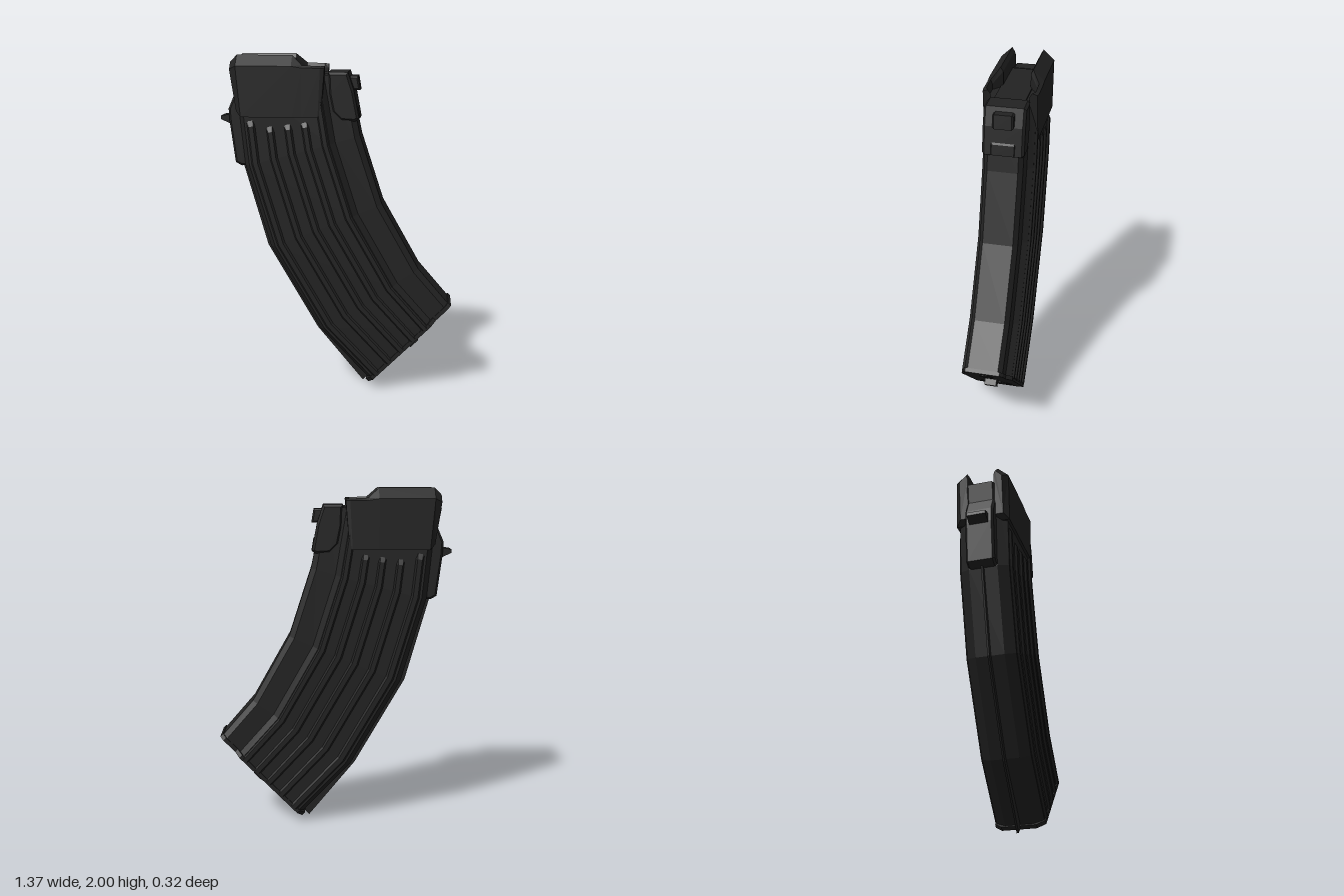
import * as THREE from 'three';

const V = (x, y, z) => new THREE.Vector3(x, y, z);

// Closed flat-shaded solid through rings of equal length, turned outward by its signed volume
function loft(rings) {
  const tris = [];
  const n = rings[0].length;
  for (let i = 0; i < rings.length - 1; i++) {
    for (let j = 0; j < n; j++) {
      const k = (j + 1) % n;
      const a = rings[i][j], b = rings[i][k], c = rings[i + 1][k], d = rings[i + 1][j];
      tris.push([a, b, c], [a, c, d]);
    }
  }
  const first = rings[0], last = rings[rings.length - 1];
  for (let j = 1; j < n - 1; j++) {
    tris.push([first[0], first[j + 1], first[j]], [last[0], last[j], last[j + 1]]);
  }
  let volume = 0;
  for (const [a, b, c] of tris) volume += a.dot(b.clone().cross(c));
  const pts = tris.flatMap(([a, b, c]) => (volume < 0 ? [a, c, b] : [a, b, c]));
  const geo = new THREE.BufferGeometry().setFromPoints(pts);
  geo.computeVertexNormals();
  return geo;
}

// Side profile in x,y extruded evenly about z = 0
function slab(points, halfWidth, bevel = 0) {
  const shape = new THREE.Shape(points.map(([x, y]) => new THREE.Vector2(x, y)));
  const depth = 2 * (halfWidth - bevel);
  const geo = new THREE.ExtrudeGeometry(shape, {
    depth, bevelEnabled: bevel > 0, bevelThickness: bevel, bevelSize: bevel, bevelOffset: -bevel, bevelSegments: 1,
  });
  return geo.translate(0, 0, -depth / 2);
}

// Back and front edge of the curved shell at each bend
const BENDS = [
  [-0.595, 1.88, 0.06, 1.89],
  [-0.545, 1.36, 0.13, 1.54],
  [-0.40, 0.87, 0.26, 1.14],
  [-0.105, 0.36, 0.48, 0.75],
  [0.19, 0.05, 0.665, 0.535],
];

// Point on the shell: u = bend index, t = back to front, z = sideways
function shellPoint(u, t, z) {
  const i = Math.min(Math.floor(u), BENDS.length - 2);
  const [bx, by, fx, fy] = BENDS[i].map((v, k) => THREE.MathUtils.lerp(v, BENDS[i + 1][k], u - i));
  return V(bx + (fx - bx) * t, by + (fy - by) * t, z);
}

export function createModel() {
  const group = new THREE.Group();
  group.name = 'curvedBox';
  const steel = new THREE.MeshStandardMaterial({ color: 0x222222, flatShading: true });
  steel.name = 'blackSteel';
  const add = (name, geo) => {
    const mesh = new THREE.Mesh(geo, steel);
    mesh.name = name;
    group.add(mesh);
    return mesh;
  };

  // Curved shell: wide behind, stepped narrower at the front
  const half = [[0, 0.085], [0.05, 0.145], [0.745, 0.145], [0.79, 0.112], [0.955, 0.112], [1, 0.088]];
  const section = [...half, ...half.map(([t, z]) => [t, -z]).reverse()];
  add('shell', loft(BENDS.map((_, u) => section.map(([t, z]) => shellPoint(u, t, z)))));

  // Pressed ribs on both sides: centre, half width, start
  const ribs = [[0.105, 0.04, 0.5], [0.265, 0.038, 0.6], [0.42, 0.038, 0.61], [0.565, 0.038, 0.62], [0.71, 0.035, 0.02]];
  for (const side of [1, -1]) {
    for (const [t, w, start] of ribs) {
      const rings = [start, start + 0.07, 1, 2, 3, 4].map((u, i) => {
        const out = i === 0 ? 0.144 : 0.158;
        return [[-w, 0.14], [-w * 0.5, out], [w * 0.5, out], [w, 0.14]]
          .map(([dt, z]) => shellPoint(u, t + dt, side * z));
      });
      add('sideRib', loft(rings));
    }
  }

  // Thin seam down the back
  add('backSeam', slab([[-0.575, 1.37], [-0.43, 0.86], [-0.13, 0.34], [0.15, 0], [0.21, 0.06],
    [-0.08, 0.37], [-0.37, 0.88], [-0.52, 1.37]], 0.006));

  // Feed lips: [x top, x bottom, outer z, inner z, peak z, shoulder y, top y]
  const lips = [
    [-0.62, -0.585, 0.13, 0.08, 0.09, 1.92, 1.96],
    [-0.58, -0.555, 0.16, 0.08, 0.095, 1.94, 2.0],
    [-0.26, -0.26, 0.16, 0.08, 0.095, 1.94, 2.0],
    [-0.20, -0.20, 0.16, 0.13, 0.14, 1.93, 1.945],
    [-0.095, -0.11, 0.16, 0.13, 0.14, 1.93, 1.94],
    [-0.07, -0.09, 0.155, 0.11, 0.125, 1.93, 1.94],
  ];
  for (const side of [1, -1]) {
    const rings = lips.map(([xt, xb, outer, inner, peak, ys, yt], i) => {
      const low = i === 0 || i === lips.length - 1 ? 1.68 : 1.65;
      return [V(xb, low, side * outer), V(xt, ys, side * outer), V(xt, yt, side * peak),
        V(xt, yt - 0.025, side * inner), V(xb, low, side * inner)];
    });
    add('feedLip', loft(rings));
  }

  // Follower floor between the lips
  add('follower', slab([[-0.53, 1.86], [-0.52, 1.895], [0.04, 1.895], [0.05, 1.86]], 0.09));

  // Front reinforcement with locking tab and ramp
  add('frontPlate', slab([[-0.055, 1.905], [0.06, 1.905], [0.095, 1.8], [0.125, 1.64], [0.10, 1.625],
    [0.02, 1.63], [-0.03, 1.68], [-0.05, 1.78]], 0.12, 0.014));
  add('frontTab', slab([[0.04, 1.88], [0.115, 1.88], [0.128, 1.80], [0.06, 1.80]], 0.06, 0.01));
  add('frontRamp', slab([[0.08, 1.79], [0.1, 1.73], [0.118, 1.70], [0.128, 1.64], [0.06, 1.66]], 0.07, 0.006));

  // Rear spine and catch
  add('rearSpine', slab([[-0.625, 1.885], [-0.605, 1.77], [-0.64, 1.69], [-0.635, 1.61], [-0.605, 1.375],
    [-0.57, 1.355], [-0.51, 1.36], [-0.55, 1.885]], 0.085, 0.012));
  add('rearCatch', slab([[-0.69, 1.645], [-0.69, 1.625], [-0.635, 1.6], [-0.56, 1.6], [-0.56, 1.67],
    [-0.635, 1.655]], 0.056));

  // Floor plate on the slanted lower end: s along it, n outward
  const onFloor = (s, z, n) => V(0.182 + 0.489 * s + 0.714 * n, 0.04 + 0.498 * s - 0.70 * n, z);
  const floorPart = (name, outline, from, to) =>
    add(name, loft([from, to].map((n) => outline.map(([s, z]) => onFloor(s, z, n)))));
  const edge = [[0, 0.105], [0.06, 0.152], [0.76, 0.152], [0.82, 0.118], [0.96, 0.118], [1, 0.1]];
  floorPart('floorPlate', [...edge, ...edge.map(([s, z]) => [s, -z]).reverse()], -0.012, 0.012);
  floorPart('floorButton', [[0.46, -0.035], [0.55, -0.035], [0.55, 0.035], [0.46, 0.035]], 0, 0.05);

  // Shallow raised embossings on the floor plate
  const oval = (s0, rs, rz) => Array.from({ length: 16 }, (_, i) => {
    const a = (i / 16) * Math.PI * 2;
    return [s0 + rs * Math.cos(a), rz * Math.sin(a)];
  });
  floorPart('roundEmboss', oval(0.22, 0.125, 0.1), 0.005, 0.016);
  floorPart('ovalEmboss', oval(0.78, 0.11, 0.04), 0.005, 0.016);

  return group;
}
